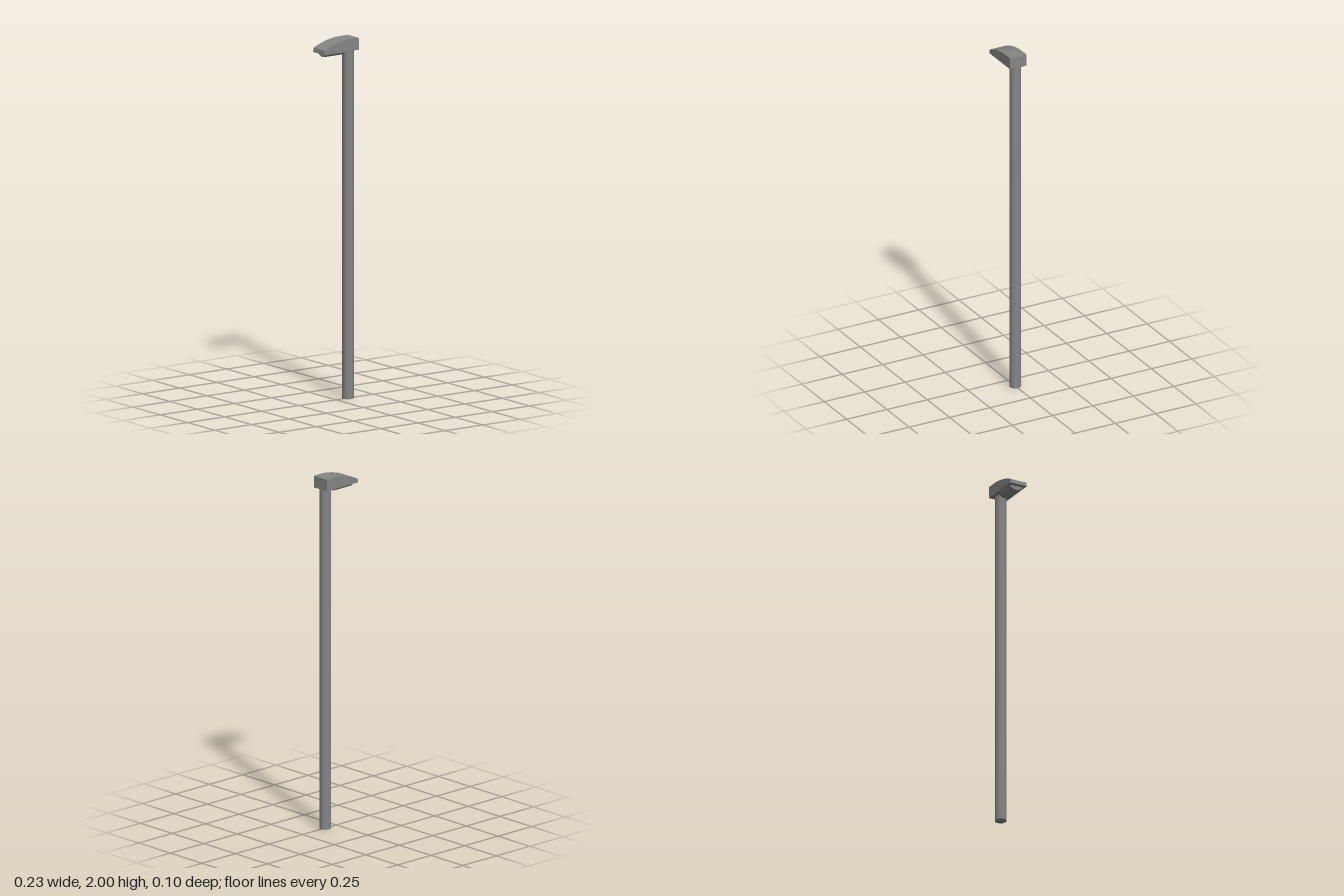
import * as THREE from 'three';

export function createModel() {
  const group = new THREE.Group();
  const material = new THREE.MeshStandardMaterial({ color: 0x868686 });
  const add = (name, geometry) => {
    const mesh = new THREE.Mesh(geometry, material);
    mesh.name = name;
    group.add(mesh);
    return mesh;
  };
  const headBottom = 1.934;

  // Round pole
  add('pole', new THREE.CylinderGeometry(0.032, 0.032, headBottom, 32))
    .position.set(0.08, headBottom / 2, 0);

  // Lamp head: side profile with a curved top, extruded across its width
  const profile = new THREE.Shape();
  profile.moveTo(-0.117, headBottom);
  profile.lineTo(0.117, headBottom);
  profile.lineTo(0.117, 2);
  profile.lineTo(0.05, 2);
  profile.quadraticCurveTo(-0.03, 1.996, -0.113, 1.957);
  profile.closePath();
  const width = 0.102;
  const head = new THREE.ExtrudeGeometry(profile, { depth: width, bevelEnabled: false, curveSegments: 12 });
  add('lampHead', head.translate(0, 0, -width / 2));

  // Lens: a shallow half-round bar under the head
  const lensShape = new THREE.Shape();
  lensShape.absellipse(0, 0, 0.037, 0.023, Math.PI, Math.PI * 2, false);
  lensShape.closePath();
  const lens = new THREE.ExtrudeGeometry(lensShape, { depth: 0.125, bevelEnabled: false, curveSegments: 20 });
  lens.rotateY(Math.PI / 2);
  add('lens', lens).position.set(-0.091, headBottom, 0);

  return group;
}
